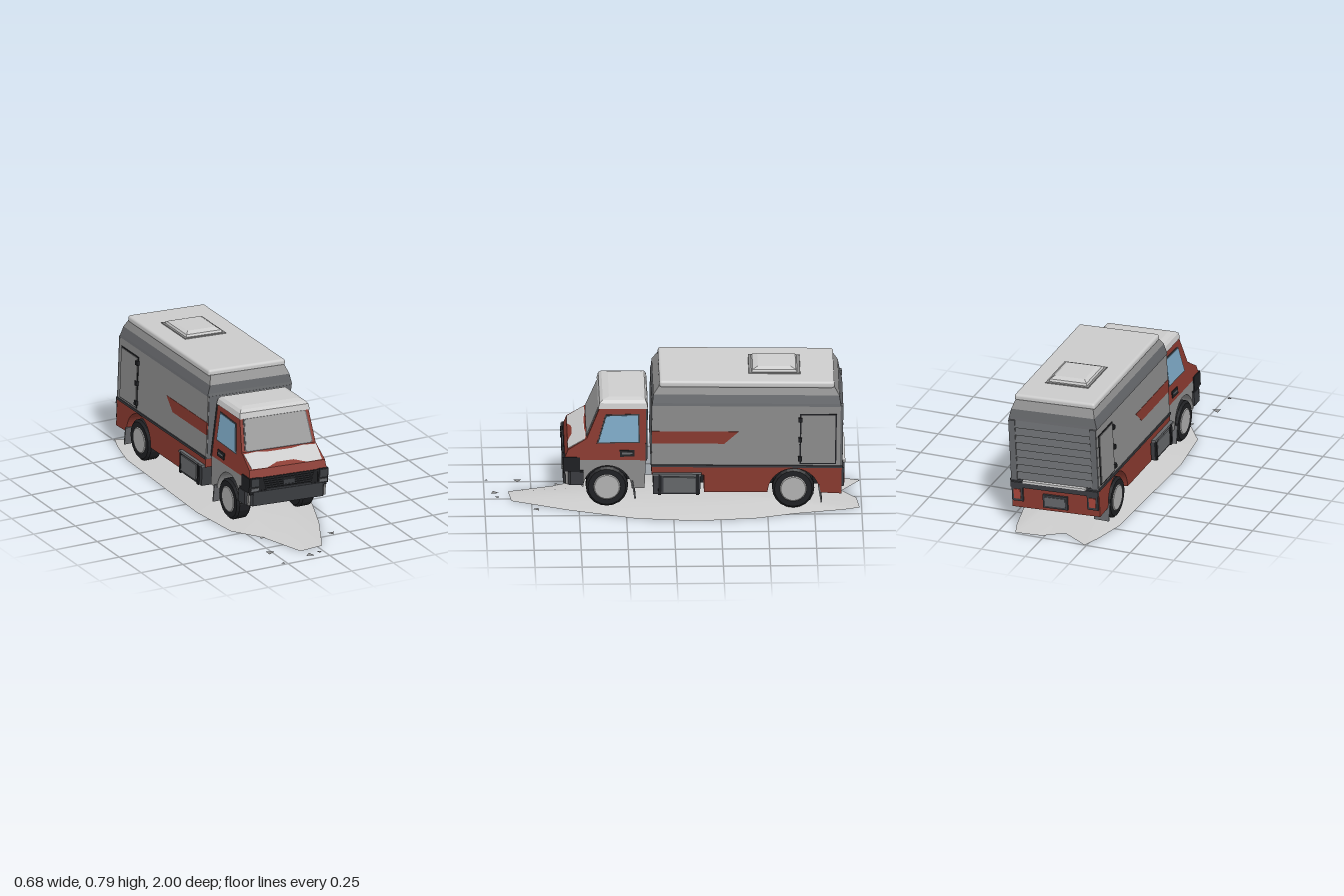
import * as THREE from 'three';
import { RoundedBoxGeometry } from 'three/addons/geometries/RoundedBoxGeometry.js';

const LIGHT = 0xcccccc, GREY = 0x8d8d8d, MID = 0x66686b, DARK = 0x3a3c40, BLACK = 0x1f2023, RED = 0x8a3a30, GLASS = 0x7fabc8;
const V2 = (p) => new THREE.Vector2(p[0], p[1]);

function add(parent, name, geo, color, flat = true, side = THREE.FrontSide) {
  const mesh = new THREE.Mesh(geo, new THREE.MeshStandardMaterial({ color, flatShading: flat, side }));
  mesh.name = name;
  parent.add(mesh);
  return mesh;
}
function box(parent, name, color, w, h, d, x, y, z) {
  return add(parent, name, new THREE.BoxGeometry(w, h, d).translate(x, y, z), color);
}
// Moves every vertex by a rule
function warp(geo, rule) {
  const p = geo.attributes.position, v = new THREE.Vector3();
  for (let i = 0; i < p.count; i++) { rule(v.fromBufferAttribute(p, i)); p.setXYZ(i, v.x, v.y, v.z); }
  geo.computeVertexNormals();
  return geo;
}
const extrude = (shape, depth) => new THREE.ExtrudeGeometry(shape, { depth, bevelEnabled: false, curveSegments: 12 });
const poly = (pts) => new THREE.Shape(pts.map(V2));
// Side profile in (z, y), extruded across x; half width follows w(y)
function slab(shape, w) {
  return warp(extrude(shape, 2).rotateY(-Math.PI / 2).translate(1, 0, 0), (v) => { v.x *= w(v.y); });
}
// Thin plate in (z, y) on both flanks
function flankPlates(parent, name, color, pts, w, off) {
  for (const s of [1, -1]) {
    const geo = extrude(poly(pts), 0.012).rotateY(-Math.PI / 2);
    add(parent, name, warp(geo, (v) => { v.x += s > 0 ? w(v.y) + off : 0.012 - w(v.y) - off; }), color);
  }
}
// Stacked rectangles: [y, halfWidth, zBack, zFront]
function loft(rings) {
  const pos = [], idx = [], n = rings.length;
  for (const [y, w, z0, z1] of rings) pos.push(-w, y, z1, w, y, z1, w, y, z0, -w, y, z0);
  for (let r = 0; r < n - 1; r++) for (let i = 0; i < 4; i++) {
    const a = r * 4 + i, b = r * 4 + (i + 1) % 4;
    idx.push(a, b, b + 4, a, b + 4, a + 4);
  }
  const t = (n - 1) * 4;
  idx.push(t, t + 1, t + 2, t, t + 2, t + 3, 2, 1, 0, 3, 2, 0);
  const g = new THREE.BufferGeometry();
  g.setAttribute('position', new THREE.Float32BufferAttribute(pos, 3));
  g.setIndex(idx);
  const flat = g.toNonIndexed();
  flat.computeVertexNormals();
  return flat;
}

const cabW = (y) => 0.232 - 0.09 * Math.max(0, y - 0.31);
const boxW = () => 0.25;
// Depth of the cab nose at a given height
function noseZ(y) {
  const c = [[0.31, 0.585], [0.365, 0.565], [0.43, 0.465], [0.61, 0.395]];
  for (let i = 0; i < 3; i++) if (y <= c[i + 1][0]) {
    return c[i][1] + (c[i + 1][1] - c[i][1]) * (y - c[i][0]) / (c[i + 1][0] - c[i][0]);
  }
  return 0.395;
}
function nosePlate(parent, name, color, right, off) {
  const pts = [...right, ...right.slice().reverse().map(([x, y]) => [-x, y])];
  add(parent, name, warp(extrude(poly(pts), 0.006), (v) => { v.z += noseZ(v.y) + off; }), color);
}

function buildCab(body) {
  const cab = new THREE.Group();
  cab.name = 'cab';
  body.add(cab);
  // Lower shell with wheel arch
  const low = new THREE.Shape();
  low.moveTo(0.15, 0.31); low.lineTo(0.155, 0.15); low.lineTo(0.225, 0.15);
  low.absarc(0.353, 0.15, 0.128, Math.PI, 0, true);
  low.lineTo(0.5, 0.17); low.lineTo(0.575, 0.17); low.lineTo(0.58, 0.31);
  add(cab, 'cabLowerShell', slab(low, cabW), GREY);
  const upper = [[0.145, 0.31], [0.585, 0.31], [0.565, 0.365], [0.465, 0.43], [0.395, 0.61], [0.145, 0.61]];
  add(cab, 'cabUpperShell', slab(poly(upper), cabW), RED);
  add(cab, 'cabRoof', loft([[0.597, 0.21, 0.142, 0.407], [0.628, 0.205, 0.148, 0.4], [0.642, 0.192, 0.157, 0.383], [0.65, 0.165, 0.18, 0.35]]), LIGHT);
  // Windscreen, hood band
  nosePlate(cab, 'windscreenFrame', MID, [[0.192, 0.432], [0.203, 0.44], [0.188, 0.59], [0.176, 0.6]], -0.002);
  nosePlate(cab, 'windscreen', 0x9c9c9c, [[0.186, 0.437], [0.196, 0.445], [0.182, 0.586], [0.172, 0.595]], 0);
  nosePlate(cab, 'hoodBand', LIGHT, [[0.05, 0.383], [0.12, 0.367], [0.21, 0.369], [0.217, 0.424], [0.14, 0.427], [0.07, 0.422]], -0.001);
  // Door windows, handles, door seams
  const win = (g) => [[0.19 - g, 0.415 - g], [0.402 + g * 1.5, 0.41 - g], [0.394 + g, 0.44], [0.362 + g, 0.556 + g], [0.195 - g, 0.562 + g]];
  flankPlates(cab, 'doorWindowFrame', DARK, win(0.007), cabW, 0.002);
  flankPlates(cab, 'doorWindow', GLASS, win(0), cabW, 0.004);
  flankPlates(cab, 'doorHandle', BLACK, [[0.21, 0.333], [0.288, 0.33], [0.29, 0.366], [0.212, 0.368]], cabW, 0.004);
  flankPlates(cab, 'doorHandleGrip', MID, [[0.222, 0.347], [0.278, 0.345], [0.278, 0.355], [0.222, 0.357]], cabW, 0.008);
  flankPlates(cab, 'cabRearSeam', DARK, [[0.143, 0.31], [0.152, 0.31], [0.152, 0.6], [0.143, 0.6]], cabW, 0.003);
  // Grille with slats, plate and lamps
  box(cab, 'grilleBack', BLACK, 0.46, 0.09, 0.04, 0, 0.277, 0.566);
  for (let i = 0; i < 6; i++) box(cab, 'grilleSlat', DARK, 0.3 - i * 0.006, 0.006, 0.012, 0, 0.315 - i * 0.012, 0.587);
  box(cab, 'grillePlate', DARK, 0.07, 0.026, 0.014, 0, 0.285, 0.588);
  for (const s of [1, -1]) {
    box(cab, 'headlightHousing', BLACK, 0.062, 0.08, 0.09, s * 0.206, 0.285, 0.545);
    box(cab, 'headlight', DARK, 0.045, 0.042, 0.008, s * 0.205, 0.302, 0.592);
    box(cab, 'indicator', MID, 0.045, 0.016, 0.008, s * 0.205, 0.262, 0.592);
  }
  // Front bumper with swept corners
  const plan = [[-0.242, -0.48], [-0.242, -0.55], [-0.21, -0.588], [0.21, -0.588], [0.242, -0.55], [0.242, -0.48]];
  add(cab, 'frontBumper', extrude(poly(plan), 0.075).rotateX(-Math.PI / 2).translate(0, 0.168, 0), DARK);
  add(cab, 'bumperTop', extrude(poly(plan.map(([x, y]) => [x * 0.98, y])), 0.01).rotateX(-Math.PI / 2).translate(0, 0.242, 0), BLACK);
}

function buildCargo(body) {
  const cargo = new THREE.Group();
  cargo.name = 'cargoBody';
  body.add(cargo);
  add(cargo, 'cargoWalls', loft([[0.285, 0.25, -0.88, 0.12], [0.635, 0.25, -0.88, 0.12]]), GREY);
  add(cargo, 'upperBand', loft([[0.635, 0.253, -0.883, 0.123], [0.65, 0.25, -0.88, 0.12], [0.695, 0.238, -0.872, 0.116]]), MID);
  add(cargo, 'roofSlope', loft([[0.695, 0.238, -0.872, 0.116], [0.74, 0.222, -0.845, 0.085]]), GREY);
  box(cargo, 'frontWall', MID, 0.49, 0.35, 0.006, 0, 0.46, 0.121);
  add(cargo, 'roof', new RoundedBoxGeometry(0.46, 0.038, 0.93, 3, 0.014).translate(0, 0.749, -0.38), LIGHT, false);
  // Roof hatch
  add(cargo, 'hatchFrame', loft([[0.765, 0.125, -0.667, -0.39], [0.772, 0.122, -0.664, -0.393]]), GREY);
  add(cargo, 'hatch', loft([[0.77, 0.11, -0.65, -0.405], [0.784, 0.104, -0.642, -0.413], [0.795, 0.084, -0.615, -0.44]]), LIGHT);
  // Red skirt with wheel arch
  const skirt = new THREE.Shape();
  skirt.moveTo(0.12, 0.285); skirt.lineTo(0.12, 0.235); skirt.lineTo(-0.16, 0.235); skirt.lineTo(-0.16, 0.137); skirt.lineTo(-0.498, 0.137);
  skirt.absarc(-0.636, 0.137, 0.138, 0, Math.PI, false);
  skirt.lineTo(-0.89, 0.132); skirt.lineTo(-0.89, 0.285);
  add(cargo, 'skirt', slab(skirt, () => 0.251), RED);
  box(cargo, 'waistTrim', DARK, 0.514, 0.012, 1.015, 0, 0.288, -0.385);
  // Flank stripe, door with hinges
  flankPlates(cargo, 'stripe', RED, [[0.12, 0.417], [-0.265, 0.417], [-0.34, 0.487], [0.12, 0.487]], boxW, 0.002);
  const door = (g) => [[-0.665 - g, 0.302 + g], [-0.86 + g, 0.302 + g], [-0.86 + g, 0.592 - g], [-0.665 - g, 0.592 - g]];
  flankPlates(cargo, 'doorFrame', BLACK, door(0), boxW, 0.003);
  flankPlates(cargo, 'sideDoor', GREY, door(0.007), boxW, 0.006);
  for (const s of [1, -1]) {
    for (const y of [0.335, 0.445, 0.56]) box(cargo, 'hinge', BLACK, 0.018, 0.024, 0.02, s * 0.256, y, -0.667);
    // Lockers under the floor
    box(cargo, 'locker', DARK, 0.1, 0.115, 0.25, s * 0.215, 0.187, -0.015);
    box(cargo, 'lockerLid', MID, 0.012, 0.085, 0.17, s * 0.266, 0.185, -0.03);
    box(cargo, 'lockerTop', MID, 0.11, 0.012, 0.26, s * 0.217, 0.242, -0.015);
    for (const z of [0.075, -0.125]) box(cargo, 'lockerStrap', BLACK, 0.016, 0.12, 0.016, s * 0.264, 0.187, z);
    // Rear lamps and corner posts
    box(cargo, 'rearLampFrame', DARK, 0.062, 0.085, 0.02, s * 0.215, 0.215, -0.892);
    box(cargo, 'rearLamp', 0xa8463a, 0.038, 0.055, 0.012, s * 0.215, 0.215, -0.9);
    box(cargo, 'rearPost', MID, 0.035, 0.345, 0.02, s * 0.232, 0.465, -0.884);
  }
  // Roller shutter
  const slats = 8, saw = [[-0.87, 0.64], [-0.87, 0.298]];
  for (let i = 0; i < slats; i++) {
    const y = 0.298 + i * 0.342 / slats;
    saw.push([-0.896, y], [-0.88, y + 0.0425]);
  }
  add(cargo, 'rollerShutter', slab(poly(saw), () => 0.214), MID);
  // Rear step and plate
  box(cargo, 'rearStep', LIGHT, 0.36, 0.012, 0.04, 0, 0.289, -0.89);
  box(cargo, 'rearBumper', DARK, 0.5, 0.03, 0.03, 0, 0.268, -0.89);
  box(cargo, 'plateHolder', DARK, 0.14, 0.075, 0.02, 0, 0.19, -0.893);
  box(cargo, 'plate', MID, 0.115, 0.05, 0.008, 0, 0.19, -0.902);
  // Chassis
  box(cargo, 'chassis', BLACK, 0.3, 0.09, 0.96, 0, 0.19, -0.37);
  box(cargo, 'frontChassis', BLACK, 0.28, 0.12, 0.4, 0, 0.22, 0.36);
}

function buildWheels(root) {
  const tyre = [[0.07, -0.042], [0.1, -0.042], [0.112, -0.03], [0.112, 0.03], [0.1, 0.042], [0.07, 0.042]].map(V2);
  for (const [z, y, x] of [[0.353, 0.143, 0.192], [-0.636, 0.129, 0.203]]) {
    for (const s of [1, -1]) {
      const wheel = new THREE.Group();
      wheel.name = 'wheel';
      wheel.position.set(s * x - 0.036, y, z);
      wheel.rotation.z = -s * Math.PI / 2;
      root.add(wheel);
      add(wheel, 'tyre', new THREE.LatheGeometry(tyre, 20), BLACK, true, THREE.DoubleSide);
      add(wheel, 'hub', new THREE.CylinderGeometry(0.07, 0.08, 0.084, 20), 0xb0b0b0);
      add(wheel, 'hubCap', new THREE.CylinderGeometry(0.066, 0.074, 0.006, 20).translate(0, 0.043, 0), 0xb0b0b0);
      // Mud flap behind the wheel
      const flap = box(root, 'mudFlap', MID, 0.085, 0.1, 0.008, 0, 0, 0);
      flap.position.set(s * (x + 0.012) - 0.036, z > 0 ? 0.128 : 0.105, z - 0.142);
      flap.rotation.x = 0.15;
    }
    const axle = new THREE.CylinderGeometry(0.02, 0.02, 2 * x, 8).rotateZ(Math.PI / 2);
    add(root, 'axle', axle.translate(-0.036, y, z), BLACK);
  }
}

function buildGround(root) {
  const rim = [[-0.24, -1], [-0.09, -0.9], [0.015, -0.975], [0.16, -0.99], [0.19, -0.9], [0.245, -0.635], [0.305, -0.45], [0.34, -0.13], [0.3, 0.195],
    [0.17, 0.555], [0.03, 0.857], [-0.11, 0.873], [-0.195, 0.61], [-0.305, 0.45], [-0.34, 0.13], [-0.32, -0.71], [-0.275, -0.9]];
  const n = rim.length, pos = [], idx = [];
  for (const [k, y] of [[1, 0], [0.65, 0.028], [0.35, 0.039], [0, 0.042]]) for (const [x, z] of rim) pos.push(x * k, y, z * k);
  for (let r = 0; r < 3; r++) for (let i = 0; i < n; i++) {
    const a = r * n + i, b = r * n + (i + 1) % n;
    idx.push(b, a, a + n);
    if (r < 2) idx.push(b, a + n, b + n);
  }
  const g = new THREE.BufferGeometry();
  g.setAttribute('position', new THREE.Float32BufferAttribute(pos, 3));
  g.setIndex(idx);
  g.computeVertexNormals();
  add(root, 'groundMound', g, LIGHT, false, THREE.DoubleSide);
  // Loose flakes ahead of the mound
  const flakes = [[-0.265, 0.82, 0.026], [-0.09, 0.945, 0.026], [0.155, 0.725, 0.022], [-0.2, 0.61, 0.022], [-0.27, 0.985, 0.014], [-0.025, 0.93, 0.015], [-0.095, 0.77, 0.014], [0, 0.77, 0.012]];
  flakes.forEach(([x, z, r], i) => {
    const tri = new THREE.CircleGeometry(r, 3).rotateX(-Math.PI / 2).rotateY(i * 1.3).translate(x, 0.002, z);
    add(root, 'flake', tri, GREY, true, THREE.DoubleSide);
  });
}

export function createModel() {
  const root = new THREE.Group();
  root.name = 'truckOnMound';
  // Body leans slightly on its suspension
  const body = new THREE.Group();
  body.name = 'body';
  body.position.set(-0.041, -0.006, 0);
  body.rotation.set(-0.013, 0, -0.045);
  root.add(body);
  buildCab(body);
  buildCargo(body);
  buildWheels(root);
  buildGround(root);
  return root;
}
